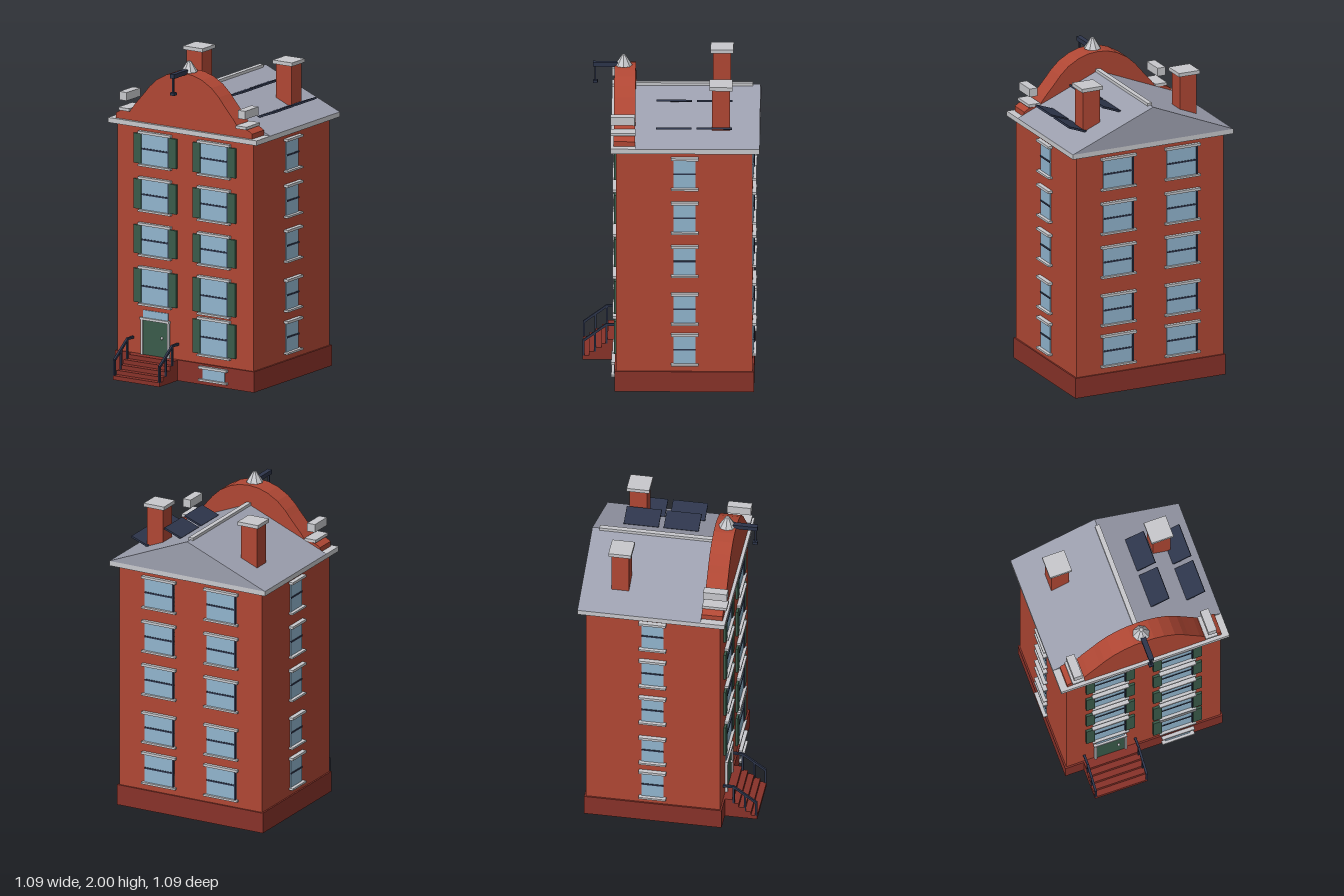
import * as THREE from 'three';

const mat = (name, color, side = THREE.FrontSide) => {
  const m = new THREE.MeshStandardMaterial({ color, side });
  m.name = name;
  return m;
};

export function createModel() {
  const brick = mat('brick red', 0xb04734);
  const plinthRed = mat('dark red', 0x883229);
  const stone = mat('light stone', 0xc8c9cd);
  const slate = mat('slate grey', 0x9c9fae);
  const glass = mat('window blue', 0x91b5ce);
  const navy = mat('dark navy', 0x2d354b);
  const green = mat('shutter green', 0x3a5b4a);

  const model = new THREE.Group();
  model.name = 'townHouse';

  const add = (parent, name, geo, material) => {
    const m = new THREE.Mesh(geo, material);
    m.name = name;
    parent.add(m);
    return m;
  };
  // box given by its minimum and maximum on each axis
  const box = (parent, name, material, x0, x1, y0, y1, z0, z1) => {
    const m = add(parent, name, new THREE.BoxGeometry(x1 - x0, y1 - y0, z1 - z0), material);
    m.position.set((x0 + x1) / 2, (y0 + y1) / 2, (z0 + z1) / 2);
    return m;
  };
  const group = (name) => {
    const g = new THREE.Group();
    g.name = name;
    model.add(g);
    return g;
  };

  // main volume
  box(model, 'plinth', plinthRed, -0.51, 0.51, 0, 0.13, -0.51, 0.34);
  box(model, 'walls', brick, -0.5, 0.5, 0.13, 1.56, -0.5, 0.33);
  box(model, 'cornice', stone, -0.545, 0.545, 1.557, 1.588, -0.545, 0.365);

  // windows, built facing +z with the wall at local z = 0
  const makeWindow = (o) => {
    const g = group(o.name);
    const { half, over, y0, y1 } = o;
    box(g, 'pane', glass, -half, half, y0, y1, -0.005, 0.006);
    box(g, 'lintel', stone, -half - over, half + over, y1, y1 + 0.016, -0.005, o.depth);
    box(g, 'sill', stone, -half - over, half + over, y0 - 0.012, y0, -0.005, o.depth);
    if (o.bar) {
      const mid = (y0 + y1) / 2;
      box(g, 'glazingBar', navy, -half, half, mid - 0.005, mid + 0.005, 0, 0.01);
    }
    if (o.jamb) box(g, 'jamb', navy, half - 0.01, half, y0, y1, 0, 0.012);
    if (o.shutters) {
      for (const s of [-1, 1]) {
        const c = s * 0.129;
        box(g, 'shutter', green, c - 0.028, c + 0.028, y0 + 0.003, y1 - 0.003, 0, 0.014);
      }
    }
    g.position.set(o.x, 0, o.z);
    g.rotation.y = o.turn || 0;
  };

  const frontRows = [[0.19, 0.407], [0.45, 0.667], [0.757, 0.94], [1.037, 1.228], [1.322, 1.514]];
  const otherRows = [[0.182, 0.363], [0.447, 0.625], [0.757, 0.935], [1.037, 1.217], [1.322, 1.505]];
  frontRows.forEach(([y0, y1], i) => {
    for (const s of [-1, 1]) {
      if (i === 0 && s < 0) continue; // the door takes this place
      makeWindow({ name: 'frontWindow', half: 0.103, over: 0.015, y0, y1, depth: 0.024,
        bar: true, jamb: true, shutters: true, x: s * 0.217, z: 0.33 });
    }
  });
  for (const [y0, y1] of otherRows) {
    for (const s of [-1, 1]) {
      makeWindow({ name: 'backWindow', half: 0.103, over: 0.015, y0, y1, depth: 0.022,
        bar: true, jamb: true, x: s * 0.217, z: -0.5, turn: Math.PI });
      makeWindow({ name: 'sideWindow', half: 0.067, over: 0.017, y0, y1, depth: 0.028,
        bar: true, x: s * 0.5, z: -0.087, turn: s * Math.PI / 2 });
    }
  }
  makeWindow({ name: 'cellarWindow', half: 0.08, over: 0.024, y0: 0.037, y1: 0.102, depth: 0.022,
    x: 0.217, z: 0.34 });

  // door with frame and transom
  const door = group('door');
  box(door, 'doorLeaf', green, -0.307, -0.125, 0.13, 0.347, 0.325, 0.337);
  for (const x of [-0.32, -0.125]) box(door, 'doorPost', stone, x, x + 0.013, 0.13, 0.347, 0.325, 0.345);
  box(door, 'doorHead', stone, -0.325, -0.111, 0.347, 0.362, 0.325, 0.348);
  box(door, 'transom', glass, -0.307, -0.125, 0.362, 0.408, 0.325, 0.336);
  const knob = add(door, 'doorKnob', new THREE.SphereGeometry(0.009, 8, 6), stone);
  knob.position.set(-0.165, 0.25, 0.344);

  // steps
  const stairs = group('stairs');
  for (let i = 0; i < 5; i++) {
    box(stairs, 'step', plinthRed, -0.39, -0.05, 0, 0.026 * (i + 1), 0.33, 0.54 - i * 0.038);
  }
  // railings
  for (const x of [-0.384, -0.054]) {
    [[0.534, 0.025, 0.125], [0.464, 0.052, 0.18], [0.394, 0.104, 0.228]].forEach(([z, y0, y1]) =>
      box(stairs, 'railPost', navy, x - 0.006, x + 0.006, y0, y1, z - 0.006, z + 0.006));
    const dz = 0.142, dy = 0.105;
    const rail = add(stairs, 'handRail', new THREE.BoxGeometry(0.014, 0.014, Math.hypot(dz, dy)), navy);
    rail.position.set(x, 0.175, 0.464);
    rail.rotation.x = Math.atan2(dy, dz);
    box(stairs, 'handRailTop', navy, x - 0.007, x + 0.007, 0.22, 0.234, 0.33, 0.396);
  }

  // saddle roof
  const extrude = (pts, depth) => new THREE.ExtrudeGeometry(
    new THREE.Shape(pts.map(([x, y]) => new THREE.Vector2(x, y))), { depth, bevelEnabled: false });
  const roof = add(model, 'roof', extrude([[-0.545, 1.588], [0.545, 1.588], [0, 1.812]], 0.76), slate);
  roof.position.z = -0.545;
  box(model, 'ridgeCap', stone, -0.015, 0.015, 1.8, 1.824, -0.5, 0.215);

  // curved front gable
  const half = [[0.5, 1.585], [0.5, 1.62], [0.47, 1.638], [0.39, 1.655], [0.36, 1.695], [0.32, 1.74],
    [0.285, 1.78], [0.255, 1.817], [0.2, 1.868], [0.13, 1.908], [0.065, 1.928]];
  const mirrored = half.map(([x, y]) => [-x, y]).reverse();
  const gable = add(model, 'frontGable', extrude([...half, [0, 1.934], ...mirrored], 0.13), brick);
  gable.position.z = 0.215;

  for (const s of [-1, 1]) {
    // gable shoulder stones
    const span = (a, b) => (s > 0 ? [a, b] : [-b, -a]);
    box(model, 'shoulderSlab', stone, ...span(0.392, 0.47), 1.645, 1.663, 0.213, 0.365);
    box(model, 'shoulderBlock', stone, ...span(0.408, 0.462), 1.71, 1.762, 0.217, 0.365);
    // chimneys
    box(model, 'chimney', brick, ...span(0.272, 0.386), 1.62, 1.915, -0.362, -0.253);
    box(model, 'chimneyCap', stone, ...span(0.258, 0.4), 1.913, 1.936, -0.378, -0.238);
  }

  // finial
  const finial = add(model, 'finial',
    new THREE.CylinderGeometry(0.012, 0.053, 0.065, 8).toNonIndexed(), stone);
  finial.geometry.computeVertexNormals();
  finial.position.set(0, 1.9675, 0.289);

  // hoist beam
  const hoist = group('hoist');
  box(hoist, 'hoistBeam', navy, -0.016, 0.016, 1.927, 1.954, 0.3, 0.477);
  box(hoist, 'hoistRod', navy, -0.005, 0.005, 1.83, 1.93, 0.457, 0.467);
  box(hoist, 'hoistHook', navy, -0.015, 0.015, 1.82, 1.837, 0.447, 0.477);

  // tilted solar panels
  for (const [x, y] of [[0.197, 1.775], [0.428, 1.68]]) {
    for (const z of [-0.268, -0.021]) {
      const panel = add(model, 'solarPanel', new THREE.BoxGeometry(0.126, 0.012, 0.216), navy);
      panel.position.set(x, y, z);
      panel.rotation.z = 0.36;
    }
  }

  return model;
}
